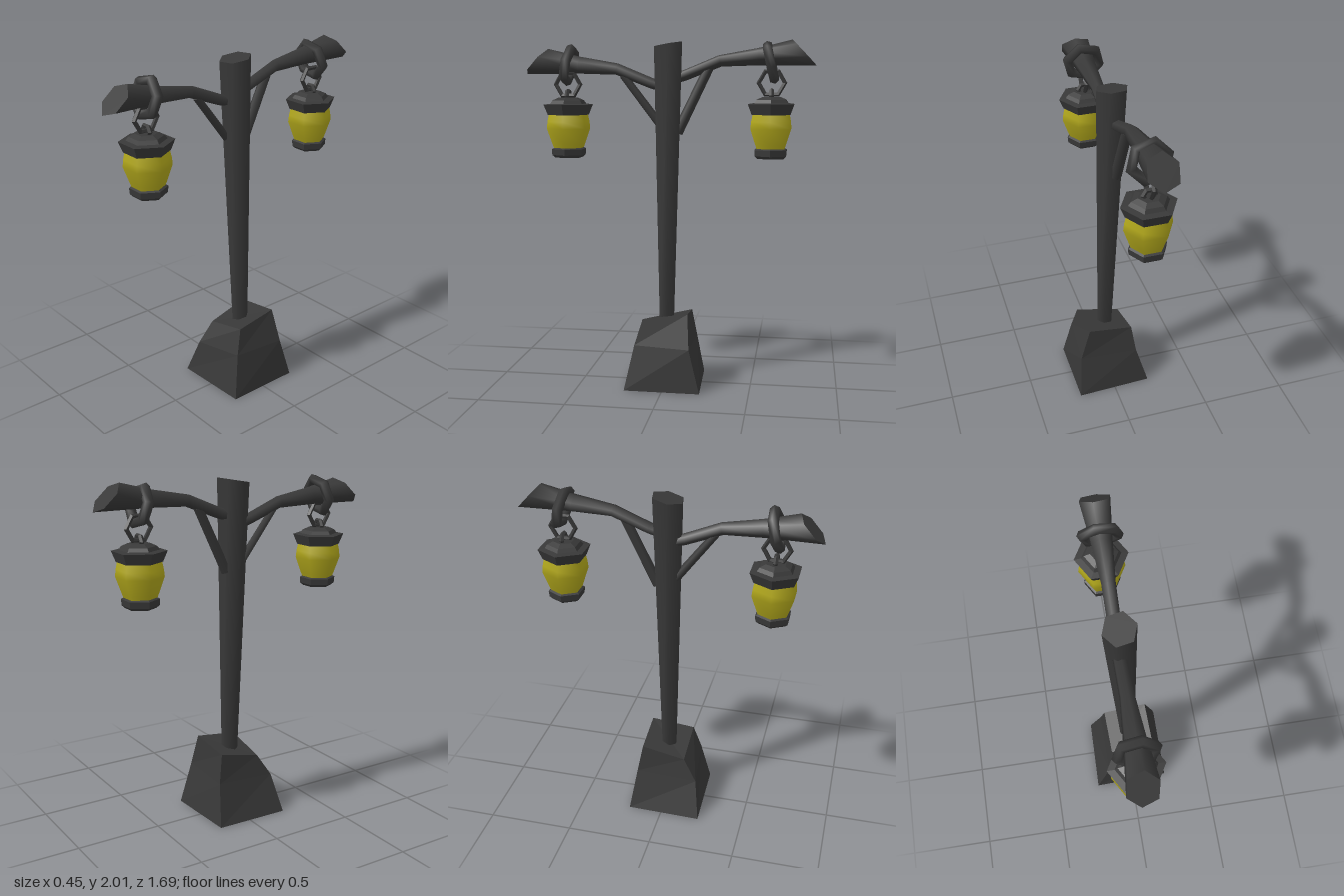
import * as THREE from 'three';

const IRON = 0x383838;
const iron = new THREE.MeshStandardMaterial({ color: IRON });
const ironFlat = new THREE.MeshStandardMaterial({ color: IRON, flatShading: true });
const glassMat = new THREE.MeshStandardMaterial({ color: 0xb3a91c });

// Skin over rings of points (counter-clockwise seen from the last ring), capped at both ends
function loft(rings) {
  const n = rings[0].length, last = rings.length - 1;
  const pos = [], idx = [];
  rings.forEach(r => r.forEach(p => pos.push(...p)));
  for (let j = 0; j < last; j++) {
    for (let i = 0; i < n; i++) {
      const a = j * n + i, b = j * n + (i + 1) % n;
      idx.push(a, b, b + n, a, b + n, a + n);
    }
  }
  [rings[0].slice().reverse(), rings[last]].forEach(r => {
    const s = pos.length / 3;
    r.forEach(p => pos.push(...p));
    for (let i = 1; i < n - 1; i++) idx.push(s, s + i, s + i + 1);
  });
  const g = new THREE.BufferGeometry();
  g.setAttribute('position', new THREE.Float32BufferAttribute(pos, 3));
  g.setIndex(idx);
  g.computeVertexNormals();
  return g;
}

const hexAngles = phase => Array.from({ length: 6 }, (_, i) => phase + i * Math.PI / 3);

function add(parent, name, geometry, material) {
  const mesh = new THREE.Mesh(geometry, material);
  mesh.name = name;
  parent.add(mesh);
  return mesh;
}

// Six-sided turned part with corners on the x axis
function turned(profile) {
  const pts = profile.map(([r, y]) => new THREE.Vector2(r, y));
  return new THREE.LatheGeometry(pts, 6, Math.PI / 6);
}

// Straight strut between two points
function strut(a, b, r0, r1) {
  const A = new THREE.Vector3(...a), B = new THREE.Vector3(...b);
  const d = B.clone().sub(A);
  const g = new THREE.CylinderGeometry(r1, r0, d.length(), 6);
  g.applyQuaternion(new THREE.Quaternion().setFromUnitVectors(new THREE.Vector3(0, 1, 0), d.normalize()));
  return g.translate(...A.add(B).multiplyScalar(0.5).toArray());
}

function makeLantern() {
  const g = new THREE.Group();
  g.name = 'lantern';
  add(g, 'glass', turned([[0.085, 1.37], [0.1, 1.41], [0.132, 1.5], [0.128, 1.54], [0.115, 1.6]]), glassMat);
  add(g, 'foot', turned([[0, 1.33], [0.085, 1.33], [0.102, 1.345], [0.105, 1.38], [0.085, 1.39], [0, 1.39]]), ironFlat);
  add(g, 'cap', turned([[0, 1.58], [0.125, 1.58], [0.15, 1.64], [0.11, 1.645],
    [0.095, 1.665], [0.06, 1.68], [0, 1.68]]), ironFlat);
  const eye = add(g, 'capEye', new THREE.TorusGeometry(0.032, 0.014, 5, 6), ironFlat);
  eye.position.y = 1.69;
  return g;
}

// One arm reaching along +z with its brace, hanger and lantern
function makeArm(name, lift, braceLow, braceHigh, braceR) {
  const arm = new THREE.Group();
  arm.name = name;
  // z, y, radius, slant of the section
  const sections = [
    [0.0, 1.735, 0.038, 0], [0.1, 1.765, 0.038, 0.2], [0.3, 1.845, 0.04, 0.25],
    [0.52, 1.868, 0.06, 0.12], [0.775, 1.89, 0.09, 0.95],
  ];
  const beam = sections.map(([z, y, r, k]) => hexAngles(0.35).map(a =>
    [r * Math.cos(a), y + lift + r * 0.82 * Math.sin(a), z - k * r * 0.82 * Math.sin(a)]));
  add(arm, 'beam', loft(beam), iron);
  add(arm, 'brace', strut(braceLow, braceHigh, braceR * 1.1, braceR), iron);

  // Ring slung around the beam
  const ring = add(arm, 'hangerRing', new THREE.TorusGeometry(0.098, 0.03, 6, 6), iron);
  ring.rotation.set(-0.22, 0, 0.25);
  ring.position.set(0, 1.868 + lift * 0.3, 0.588);

  // Link between ring and lantern
  const link = add(arm, 'chainLink', new THREE.TorusGeometry(0.073, 0.014, 5, 6), ironFlat);
  link.rotation.y = Math.PI / 2;
  link.position.set(0, 1.757 + lift * 0.2, 0.595);

  const lantern = makeLantern();
  lantern.position.set(0, lift * 0.15, 0.595);
  arm.add(lantern);
  return arm;
}

export function createModel() {
  const model = new THREE.Group();
  model.name = 'streetLamp';

  // Rough-hewn stone foot: bottom, shoulder and top rings
  add(model, 'base', loft([
    [[-0.23, 0, 0.235], [0.225, 0, 0.22], [0.225, 0, -0.22], [-0.22, 0, -0.2]],
    [[-0.145, 0.22, 0.2], [0.178, 0.26, 0.165], [0.2, 0.25, -0.155], [-0.15, 0.24, -0.165]],
    [[-0.115, 0.35, 0.12], [0.15, 0.41, 0.12], [0.14, 0.445, -0.14], [-0.125, 0.41, -0.135]],
  ]), ironFlat);

  // Leaning post, widening upwards, with a slightly tilted top
  const post = [[0.007, 0.33, 0.047, 0], [-0.035, 1.985, 0.092, 0.17]].map(([x, y, r, tilt]) =>
    hexAngles(0.18).map(a => [x + r * Math.cos(a), y + tilt * r * Math.sin(a), -r * Math.sin(a)]));
  add(model, 'post', loft(post), iron);

  const front = makeArm('frontArm', 0, [0, 1.53, 0.05], [0, 1.81, 0.265], 0.022);
  const back = makeArm('backArm', 0.045, [0, 1.48, 0.055], [0, 1.85, 0.235], 0.028);
  back.rotation.y = Math.PI;
  for (const arm of [front, back]) {
    arm.position.x = -0.045;
    model.add(arm);
  }
  return model;
}
